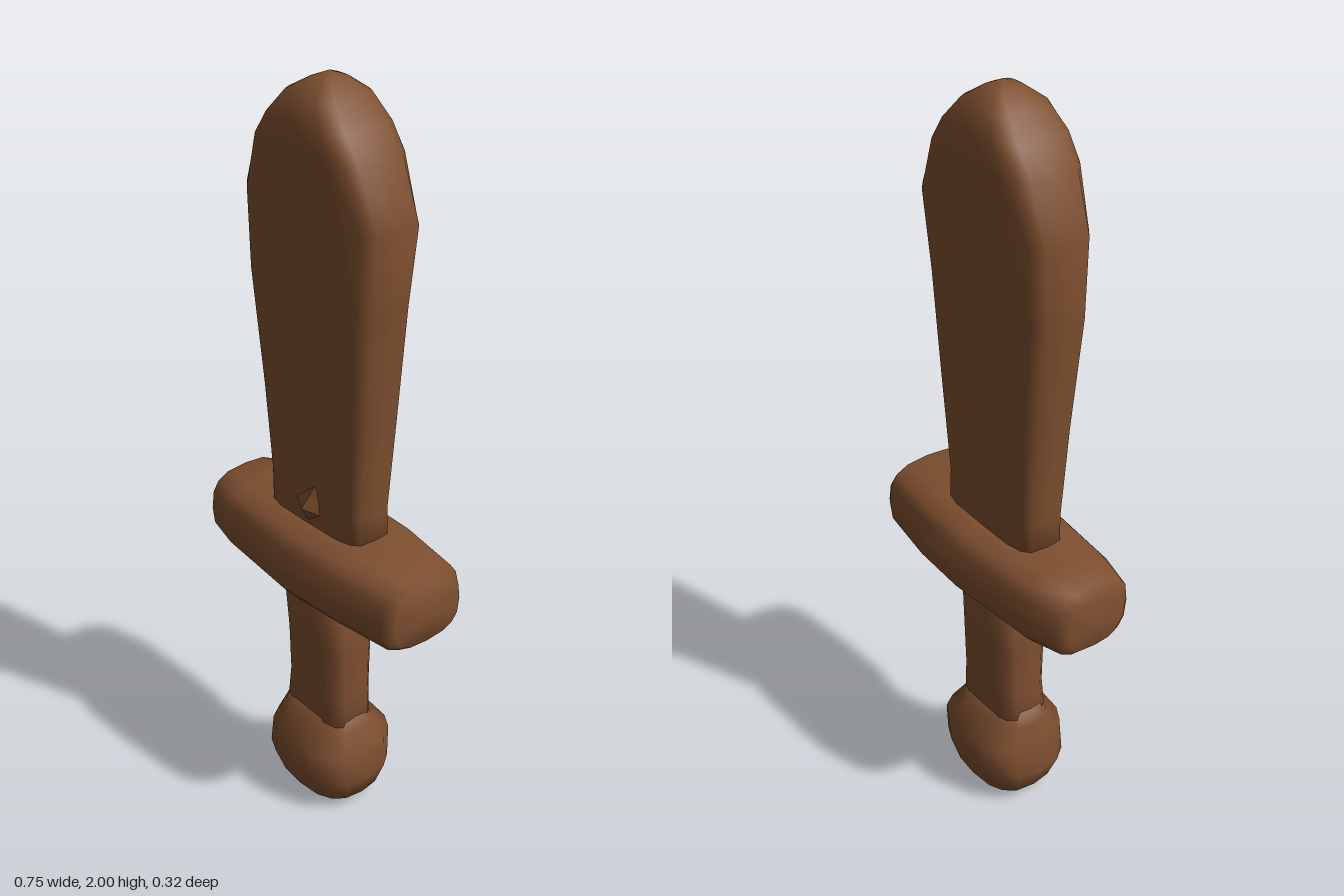
import * as THREE from 'three';

const SIDES = 16;

// Skins rounded-rectangle rings stacked along y: [y, xMin, xMax, zMin, zMax].
// The cap heights close the first and last ring with a single point.
function loft(rings, capStart, capEnd, power = 3.5) {
  const pos = [], index = [];
  const round = (v) => Math.sign(v) * Math.pow(Math.abs(v), 2 / power);
  for (const [y, x0, x1, z0, z1] of rings) {
    for (let j = 0; j < SIDES; j++) {
      const t = (j / SIDES) * Math.PI * 2;
      pos.push(
        (x0 + x1) / 2 + ((x1 - x0) / 2) * round(Math.cos(t)), y,
        (z0 + z1) / 2 - ((z1 - z0) / 2) * round(Math.sin(t)));
    }
  }
  const first = rings[0], last = rings[rings.length - 1];
  for (const [r, y] of [[first, capStart], [last, capEnd]]) {
    pos.push((r[1] + r[2]) / 2, y, (r[3] + r[4]) / 2);
  }
  const start = rings.length * SIDES, top = start - SIDES;
  for (let j = 0; j < SIDES; j++) {
    const k = (j + 1) % SIDES;
    for (let i = 0; i < rings.length - 1; i++) {
      const a = i * SIDES + j, b = i * SIDES + k;
      index.push(a, b, a + SIDES, b, b + SIDES, a + SIDES);
    }
    index.push(start, k, j, start + 1, top + j, top + k);
  }
  const geo = new THREE.BufferGeometry();
  geo.setAttribute('position', new THREE.Float32BufferAttribute(pos, 3));
  geo.setIndex(index);
  geo.computeVertexNormals();
  return geo;
}

export function createModel() {
  const model = new THREE.Group();
  model.name = 'woodenShortSword';
  const wood = new THREE.MeshStandardMaterial({ color: 0x7e4f2f });
  wood.name = 'brown wood';

  const add = (name, geo) => {
    const mesh = new THREE.Mesh(geo, wood);
    mesh.name = name;
    model.add(mesh);
    return mesh;
  };

  // Blade: widens upward, then tapers to a blunt point
  add('blade', loft([
    [0.80, -0.18, 0.17, -0.08, 0.07],
    [0.95, -0.18, 0.175, -0.07, 0.07],
    [1.20, -0.20, 0.195, -0.08, 0.08],
    [1.50, -0.23, 0.22, -0.09, 0.095],
    [1.70, -0.235, 0.24, -0.10, 0.10],
    [1.84, -0.185, 0.18, -0.105, 0.105],
    [1.90, -0.135, 0.135, -0.10, 0.105],
    [1.955, -0.085, 0.08, -0.08, 0.08],
    [1.985, -0.035, 0.035, -0.04, 0.04],
  ], 0.80, 2.0, 3.8));

  // Cross guard: lofted lengthwise, then laid along x
  const guard = loft([
    [-0.365, -0.055, 0.085, -0.08, 0.08],
    [-0.350, -0.09, 0.10, -0.115, 0.11],
    [-0.25, -0.10, 0.107, -0.145, 0.135],
    [0, -0.108, 0.113, -0.16, 0.158],
    [0.16, -0.108, 0.11, -0.153, 0.148],
    [0.335, -0.10, 0.105, -0.125, 0.125],
    [0.360, -0.07, 0.09, -0.11, 0.10],
  ], -0.373, 0.372, 2.9);
  guard.rotateZ(-Math.PI / 2).translate(0, 0.77, 0);
  add('crossGuard', guard);

  // Grip
  add('grip', loft([
    [0.18, -0.13, 0.115, -0.08, 0.08],
    [0.36, -0.115, 0.11, -0.075, 0.07],
    [0.50, -0.115, 0.11, -0.08, 0.075],
    [0.70, -0.12, 0.115, -0.085, 0.09],
  ], 0.18, 0.70, 3.2));

  // Pommel with a shallow notch under its middle
  const pommel = loft([
    [0.015, -0.09, 0.07, -0.07, 0.06],
    [0.04, -0.14, 0.135, -0.11, 0.105],
    [0.11, -0.167, 0.162, -0.13, 0.13],
    [0.20, -0.148, 0.152, -0.14, 0.135],
    [0.25, -0.133, 0.12, -0.09, 0.085],
    [0.30, -0.122, 0.11, -0.07, 0.07],
  ], 0.05, 0.30, 2.7);
  const p = pommel.attributes.position;
  for (let i = 0; i < p.count; i++) {
    if (p.getY(i) < 0.03) p.setY(i, 0.035 - 0.4 * Math.min(0.085, Math.abs(p.getX(i) + 0.01)));
  }
  pommel.computeVertexNormals();
  add('pommel', pommel);

  // Small chip of wood standing off the front of the blade base
  const chip = new THREE.BufferGeometry();
  chip.setAttribute('position', new THREE.Float32BufferAttribute([
    -0.06, 0.93, 0.06, 0.0, 0.87, 0.06, 0.055, 0.91, 0.06, 0.04, 1.02, 0.06, 0.01, 0.93, 0.10,
  ], 3));
  chip.setIndex([0, 1, 4, 1, 2, 4, 2, 3, 4, 3, 0, 4]);
  const flatChip = chip.toNonIndexed();
  flatChip.computeVertexNormals();
  add('chip', flatChip);

  return model;
}
